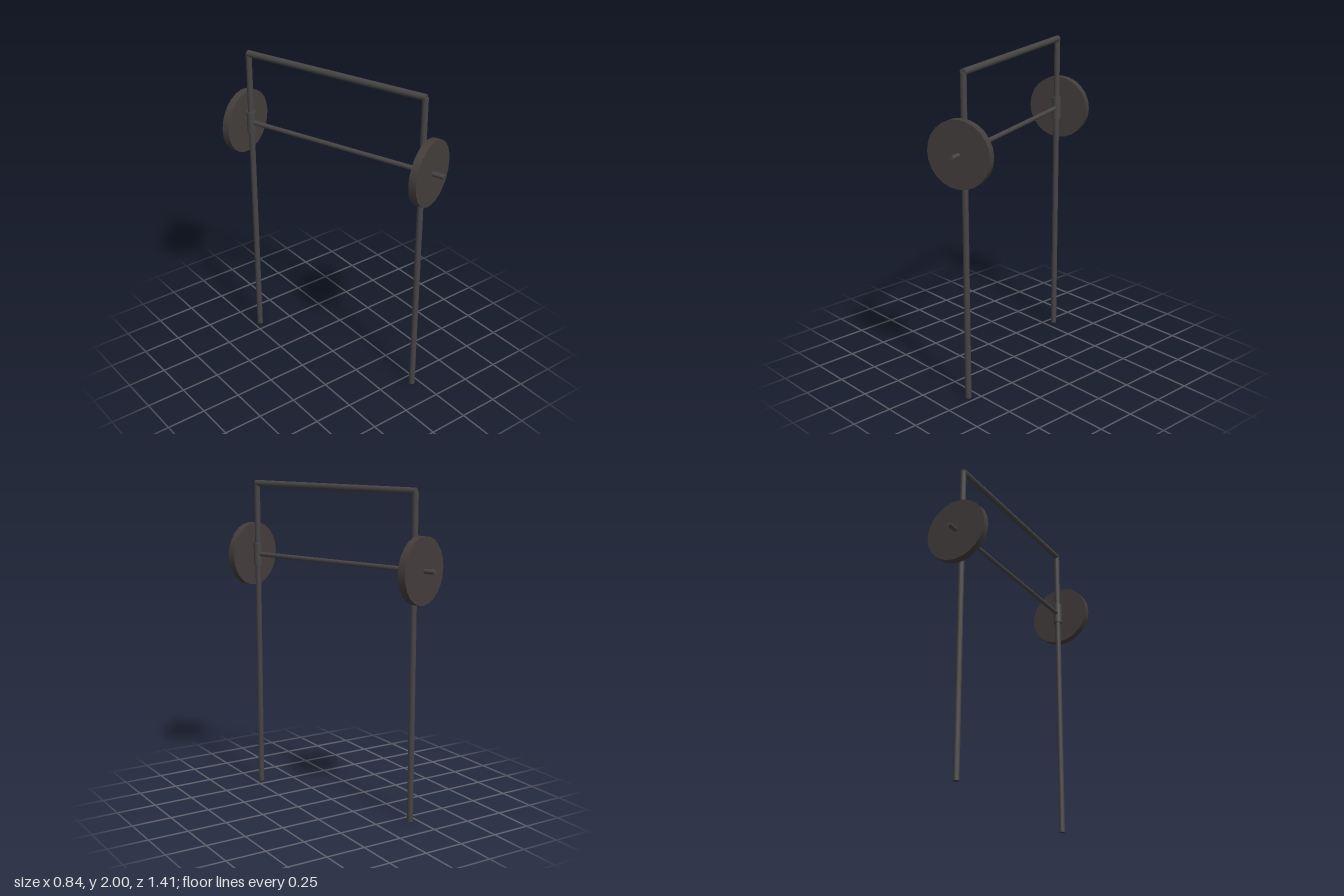
import * as THREE from 'three';

export function createModel() {
  const model = new THREE.Group();
  model.name = 'barbellRack';
  const steel = new THREE.MeshStandardMaterial({ color: 0x464445 });
  steel.name = 'dark steel';
  const iron = new THREE.MeshStandardMaterial({ color: 0x433e3c });
  iron.name = 'plate iron';

  // Cylinder standing on y, or lying along z
  function rod(name, radius, length, y, z, material, sides, lying) {
    const geometry = new THREE.CylinderGeometry(radius, radius, length, sides);
    if (lying) geometry.rotateX(Math.PI / 2);
    const mesh = new THREE.Mesh(geometry, material);
    mesh.name = name;
    mesh.position.set(0, y, z);
    model.add(mesh);
  }

  const barHeight = 1.53;

  // Top rail and the lifting bar
  rod('topRail', 0.02, 1.212, 1.98, 0, steel, 12, true);
  rod('bar', 0.0145, 1.488, barHeight, 0, steel, 12, true);

  // Post, sliding sleeve and weight plate at each end
  for (const [side, s] of [['front', 1], ['back', -1]]) {
    rod(side + 'Post', 0.0185, 1.978, 0.989, s * 0.601, steel, 12, false);
    rod(side + 'Sleeve', 0.028, 0.14, barHeight, s * 0.601, steel, 16, false);
    rod(side + 'Plate', 0.2, 0.047, barHeight, s * 0.648, iron, 24, true);
  }

  // The whole rack stands turned about the vertical
  model.rotation.y = THREE.MathUtils.degToRad(20);
  const root = new THREE.Group();
  root.name = 'rack';
  root.add(model);
  return root;
}
